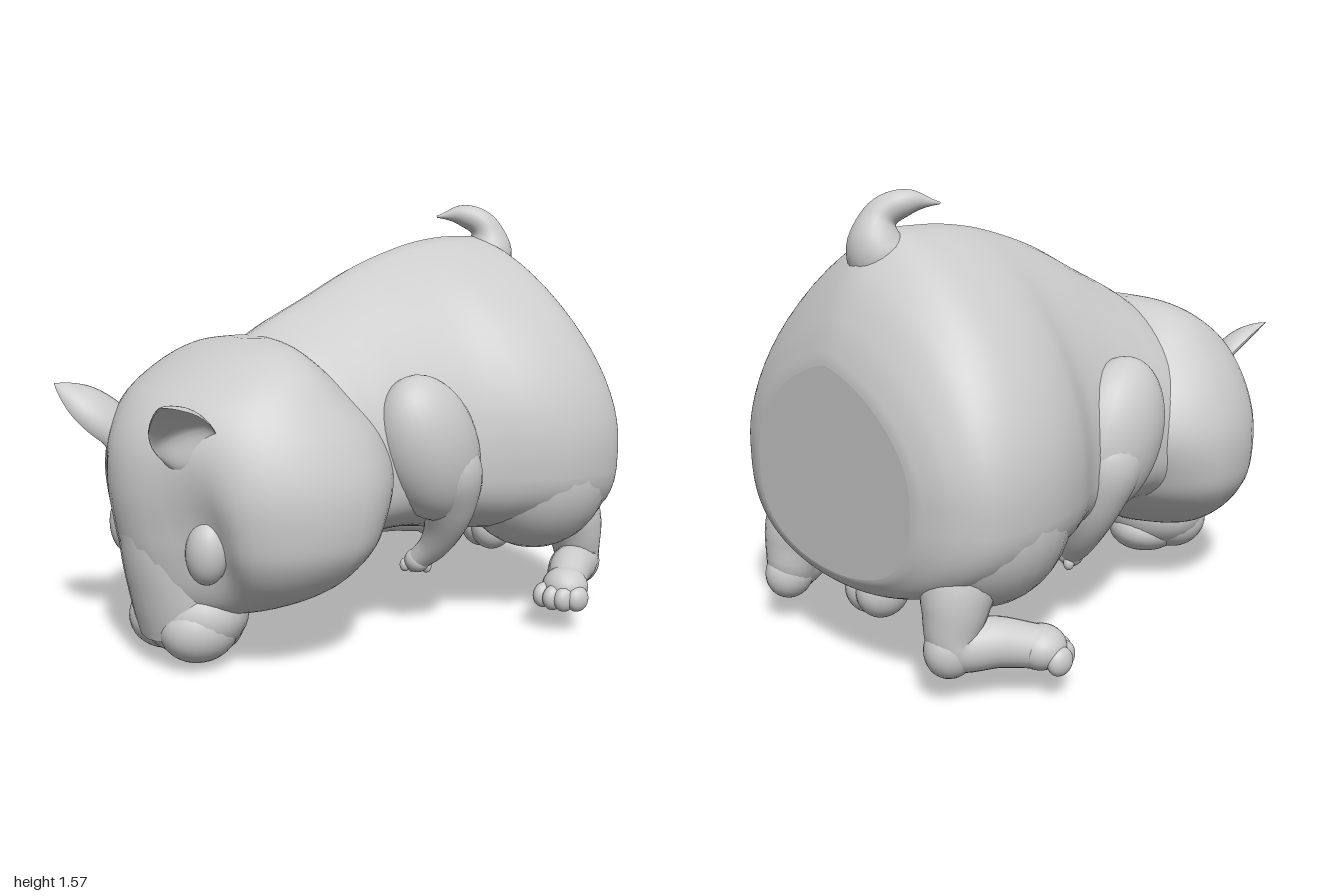
import * as THREE from 'three';
import { mergeVertices } from 'three/addons/utils/BufferGeometryUtils.js';

const grey = new THREE.MeshStandardMaterial({ color: 0xcccccc });
const V = (x, y, z) => new THREE.Vector3(x, y, z);

function part(parent, name, geometry) {
  const mesh = new THREE.Mesh(geometry, grey);
  mesh.name = name;
  parent.add(mesh);
  return mesh;
}

// Weld seams so normals stay smooth all the way round
function smooth(geometry) {
  geometry.deleteAttribute('uv');
  geometry.deleteAttribute('normal');
  const welded = mergeVertices(geometry, 1e-5);
  welded.computeVertexNormals();
  return welded;
}

function ball(parent, name, center, radii) {
  const mesh = part(parent, name, new THREE.SphereGeometry(1, 28, 20));
  mesh.position.copy(center);
  mesh.scale.set(...radii);
  return mesh;
}

// Catmull-Rom blend of whole rows of section numbers
function sampleRows(rows, t) {
  const f = t * (rows.length - 1), i = Math.min(Math.floor(f), rows.length - 2), u = f - i;
  const row = k => rows[Math.max(0, Math.min(rows.length - 1, k))];
  return rows[0].map((_, c) => {
    const [a, b, d, e] = [row(i - 1)[c], row(i)[c], row(i + 1)[c], row(i + 2)[c]];
    return b + 0.5 * u * (d - a + u * (2 * a - 5 * b + 4 * d - e + u * (3 * (b - d) + e - a)));
  });
}

// Closed skin through cross-sections; both ends are capped at their centres
function loft(rows, ring, steps = 60, sides = 64) {
  const rings = [];
  for (let i = 0; i <= steps; i++) {
    const row = sampleRows(rows, i / steps);
    rings.push(Array.from({ length: sides }, (_, j) => ring(row, (j / sides) * Math.PI * 2)));
  }
  const collapse = r => {
    const c = r.reduce((sum, p) => sum.add(p), V(0, 0, 0)).divideScalar(sides);
    return r.map(() => c);
  };
  rings.unshift(collapse(rings[0]));
  rings.push(collapse(rings[rings.length - 1]));
  const position = rings.flat().flatMap(p => [p.x, p.y, p.z]), index = [];
  for (let i = 0; i < rings.length - 1; i++) {
    for (let j = 0; j < sides; j++) {
      const k = (j + 1) % sides, a = i * sides, b = a + sides;
      if (i > 0) index.push(a + j, a + k, b + j);
      if (i < rings.length - 2) index.push(a + k, b + k, b + j);
    }
  }
  const g = new THREE.BufferGeometry();
  g.setAttribute('position', new THREE.Float32BufferAttribute(position, 3));
  g.setIndex(index);
  return smooth(g);
}

// Tube whose radius follows a list of values along its path
function taperedTube(points, radii) {
  const curve = new THREE.CatmullRomCurve3(points), seg = 32, sides = 24;
  const g = new THREE.TubeGeometry(curve, seg, 1, sides);
  const p = g.attributes.position, rows = radii.map(r => [r]);
  for (let i = 0; i < p.count; i++) {
    const t = Math.floor(i / (sides + 1)) / seg, c = curve.getPointAt(t);
    const v = V().fromBufferAttribute(p, i).sub(c).multiplyScalar(sampleRows(rows, t)[0]).add(c);
    p.setXYZ(i, v.x, v.y, v.z);
  }
  return smooth(g);
}

// Pear-shaped body, flat at the rear: z, half width, top, bottom, widest height
const bodyRows = [
  [0.5, 0.32, 1.03, 0.36, 0.65], [0.3, 0.44, 1.155, 0.3, 0.65], [0.1, 0.465, 1.25, 0.36, 0.65],
  [-0.1, 0.48, 1.345, 0.37, 0.65], [-0.3, 0.53, 1.41, 0.34, 0.66], [-0.45, 0.615, 1.44, 0.32, 0.67],
  [-0.6, 0.665, 1.45, 0.3, 0.67], [-0.75, 0.672, 1.435, 0.28, 0.67], [-0.87, 0.64, 1.33, 0.27, 0.67],
  [-0.95, 0.56, 1.19, 0.28, 0.67], [-0.99, 0.47, 1.08, 0.32, 0.67], [-1.0, 0.42, 1.03, 0.34, 0.67],
];
function bodyRing([z, w, top, bottom, mid], a) {
  const c = Math.cos(a), crest = c - 0.1 * Math.abs(Math.sin(2 * a));
  const y = c > 0 ? mid + (top - mid) * crest : mid - (mid - bottom) * Math.abs(c) ** 0.65;
  return V(w * Math.sin(a), y, z);
}

// Broad-cheeked head: y, half width, front, widest depth, back
const headRows = [
  [0.17, 0.12, 0.68, 0.56, 0.46], [0.22, 0.3, 0.78, 0.48, 0.35], [0.3, 0.45, 0.84, 0.41, 0.19],
  [0.4, 0.54, 0.88, 0.38, 0.06], [0.5, 0.573, 0.905, 0.36, 0], [0.65, 0.572, 0.92, 0.35, -0.06],
  [0.8, 0.52, 0.895, 0.36, -0.02], [0.93, 0.435, 0.81, 0.4, 0.1], [1.03, 0.345, 0.66, 0.41, 0.21],
  [1.09, 0.23, 0.53, 0.4, 0.28], [1.115, 0.08, 0.43, 0.38, 0.33],
];
function headRing([y, w, front, mid, back], a) {
  const c = Math.cos(a), x = w * Math.sin(a);
  let z = mid + (c > 0 ? front - mid : mid - back) * c;
  // Hollows beside the bridge of the nose
  if (c > 0) {
    z -= 0.12 * c * Math.exp(-(((Math.abs(x) - 0.27) / 0.12) ** 2)) * Math.exp(-(((y - 0.45) / 0.3) ** 2));
  }
  return V(x, y, z);
}

// Cupped, pointed ear opening outward and forward
function earGeometry(s) {
  const base = V(0.2 * s, 0.73, 0.72), tip = V(0.335 * s, 0.967, 0.965);
  const up = tip.clone().sub(base), length = up.length();
  up.normalize();
  const outline = [[0.001, 0], [0.08, 0.01], [0.095, 0.09], [0.1, 0.18], [0.082, 0.26], [0.042, 0.325], [0.001, length]];
  const curve = new THREE.SplineCurve(outline.map(([r, h]) => new THREE.Vector2(r, h)));
  const profile = curve.getPoints(30).map(p => new THREE.Vector2(Math.max(p.x, 0), p.y));
  const g = new THREE.LatheGeometry(profile, 32), p = g.attributes.position;
  for (let i = 0; i < p.count; i++) {
    const z = p.getZ(i), open = THREE.MathUtils.smoothstep(p.getY(i), 0.06, 0.18);
    p.setZ(i, z > 0 ? z * THREE.MathUtils.lerp(0.6, -0.3, open) : z * 0.75);
  }
  const out = V(0.65 * s, -0.1, 0.5);
  out.addScaledVector(up, -out.dot(up)).normalize();
  const m = new THREE.Matrix4().makeBasis(up.clone().cross(out), up, out).setPosition(base);
  return smooth(g.applyMatrix4(m));
}

function addHead(model) {
  const head = new THREE.Group();
  head.name = 'head';
  // The head is turned slightly to its left
  head.position.set(0.01, 0, 0.25);
  head.rotation.y = 0.07;
  model.add(head);
  const inner = new THREE.Group();
  inner.name = 'face';
  inner.position.z = -0.25;
  head.add(inner);
  part(inner, 'skull', loft(headRows, headRing));
  // Bridge of the nose running down into the muzzle
  part(inner, 'noseBridge', taperedTube(
    [V(0, 0.8, 0.72), V(0, 0.62, 0.755), V(0, 0.45, 0.735), V(0, 0.3, 0.685), V(0, 0.17, 0.64)],
    [0.1, 0.145, 0.16, 0.182, 0.195]));
  ball(inner, 'muzzle', V(0, 0.185, 0.645), [0.234, 0.165, 0.188]);
  ball(inner, 'chin', V(0, 0.1, 0.61), [0.15, 0.1, 0.16]);
  for (const s of [1, -1]) {
    ball(inner, 'lip', V(0.095 * s, 0.145, 0.675), [0.13, 0.125, 0.145]);
    const eye = ball(inner, 'eye', V(0.242 * s, 0.45, 0.737), [0.077, 0.112, 0.07]);
    eye.rotation.z = -0.12 * s;
    part(inner, 'ear', earGeometry(s));
  }
}

function addLimbs(model, s) {
  // Front leg folded back against the chest, paw tucked inward
  const shoulder = ball(model, 'shoulder', V(0.425 * s, 0.72, -0.11), [0.155, 0.28, 0.195]);
  shoulder.rotation.x = 0.4;
  part(model, 'frontLeg', taperedTube(
    [V(0.42 * s, 0.78, -0.1), V(0.45 * s, 0.62, -0.18), V(0.42 * s, 0.46, -0.21), V(0.36 * s, 0.34, -0.205), V(0.29 * s, 0.265, -0.18)],
    [0.09, 0.13, 0.1, 0.065, 0.042]));
  ball(model, 'frontPaw', V(0.29 * s, 0.265, -0.18), [0.05, 0.045, 0.045]);
  for (let i = 0; i < 4; i++) {
    ball(model, 'frontToe', V((0.25 + i * 0.02) * s, 0.242, -0.155 - i * 0.018), [0.019, 0.026, 0.02]);
  }
  // Haunch, ankle and splayed hind foot
  ball(model, 'haunch', V(0.385 * s, 0.57, -0.685), [0.282, 0.31, 0.305]);
  part(model, 'hindLeg', taperedTube(
    [V(0.43 * s, 0.5, -0.78), V(0.45 * s, 0.31, -0.855), V(0.46 * s, 0.195, -0.865), V(0.53 * s, 0.185, -0.75), V(0.61 * s, 0.16, -0.64)],
    [0.12, 0.12, 0.088, 0.082, 0.07]));
  ball(model, 'heel', V(0.455 * s, 0.18, -0.88), [0.08, 0.095, 0.09]);
  ball(model, 'hindPaw', V(0.61 * s, 0.16, -0.64), [0.085, 0.072, 0.085]);
  for (let i = 0; i < 4; i++) {
    const across = (i - 1.5) * 0.042, reach = i % 3 ? 0.02 : 0;
    ball(model, 'hindToe', V((0.628 + across * 0.88 + reach * 0.47) * s, 0.13, -0.597 - across * 0.48 + reach * 0.88), [0.034, 0.048, 0.048]);
  }
}

export function createModel() {
  const model = new THREE.Group();
  model.name = 'rodent';
  part(model, 'body', loft(bodyRows, bodyRing, 88));
  addHead(model);
  for (const s of [1, -1]) {
    addLimbs(model, s);
    ball(model, 'underside', V(0.03 * s, 0.24, -0.82), [0.08, 0.1, 0.1]);
  }
  // Short curled tail
  part(model, 'tail', taperedTube(
    [V(0, 1.28, -0.73), V(0.01, 1.41, -0.775), V(0, 1.49, -0.755), V(-0.05, 1.53, -0.69), V(-0.105, 1.525, -0.6)],
    [0.1, 0.105, 0.06, 0.042, 0.004]));
  return model;
}
